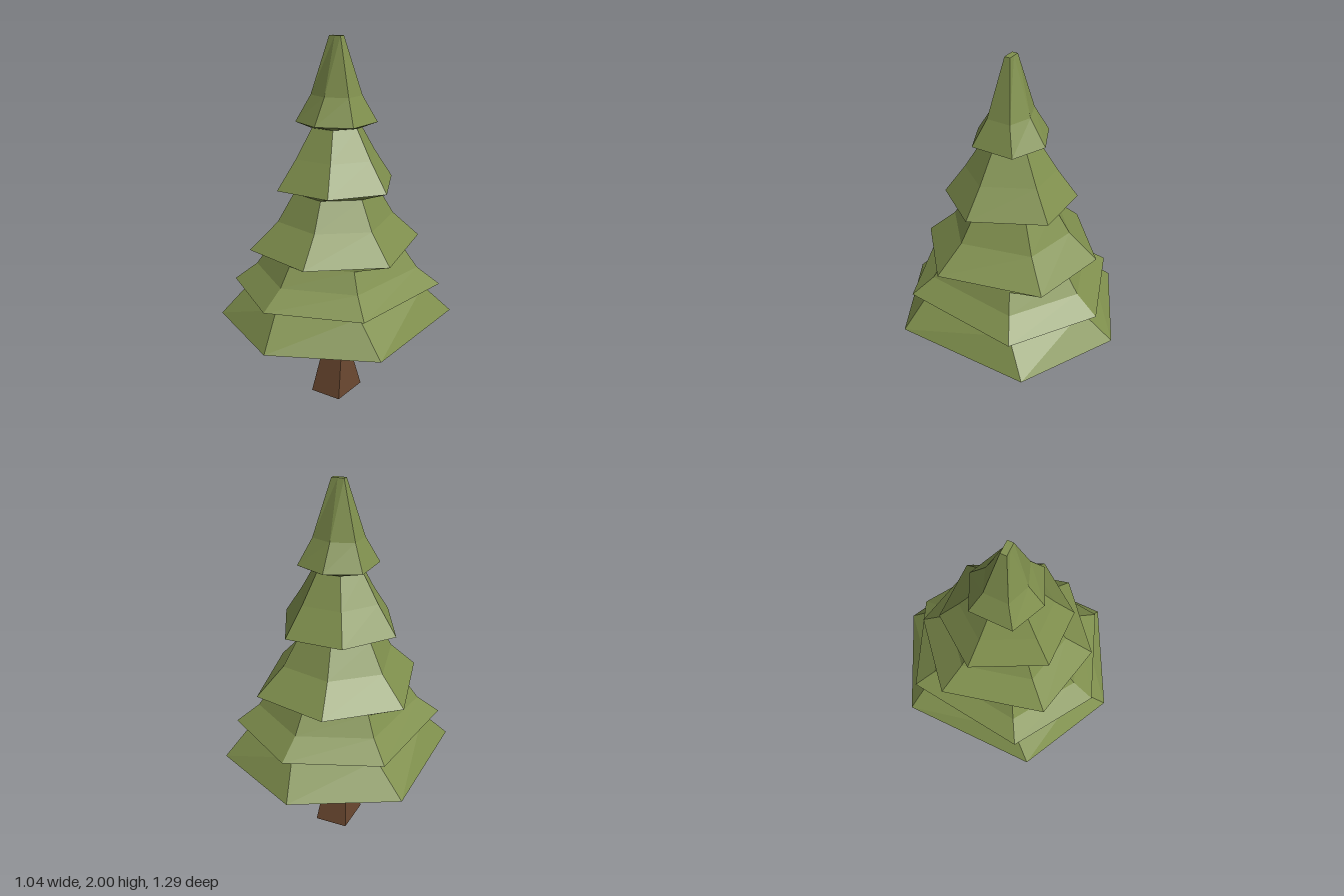
import * as THREE from 'three';

const RAD = Math.PI / 180;
const HEX_ANGLES = [36, 90, 144, 216, 270, 324];

// Slightly stretched hexagon at height y, turned about the trunk axis
function hexRing(y, r, twist, depth = 1, maxZ = Infinity) {
  return HEX_ANGLES.map((deg) => {
    const a = (deg + twist) * RAD;
    const z = THREE.MathUtils.clamp(-r * depth * Math.sin(a), -maxZ, maxZ);
    return [r * Math.cos(a), y, z];
  });
}

function rectRing(y, hx, hz) {
  return [[hx, y, hz], [hx, y, -hz], [-hx, y, -hz], [-hx, y, hz]];
}

// Faceted skin through rings listed from bottom to top
function loft(rings, capBottom, capTop) {
  const pos = [];
  const tri = (a, b, c) => pos.push(...a, ...b, ...c);
  const n = rings[0].length;
  for (let k = 0; k < rings.length - 1; k++) {
    const lo = rings[k], hi = rings[k + 1];
    for (let i = 0; i < n; i++) {
      const j = (i + 1) % n;
      tri(lo[i], lo[j], hi[j]);
      tri(lo[i], hi[j], hi[i]);
    }
  }
  const first = rings[0], last = rings[rings.length - 1];
  for (let i = 1; i < n - 1; i++) {
    if (capBottom) tri(first[0], first[i + 1], first[i]);
    if (capTop) tri(last[0], last[i], last[i + 1]);
  }
  const geo = new THREE.BufferGeometry();
  geo.setAttribute('position', new THREE.Float32BufferAttribute(pos, 3));
  geo.computeVertexNormals(); // unshared corners keep every facet flat
  return geo;
}

export function createModel() {
  const group = new THREE.Group();
  const needles = new THREE.MeshStandardMaterial({ color: 0x7f8f4d });
  needles.name = 'needle green';
  const bark = new THREE.MeshStandardMaterial({ color: 0x68462f });
  bark.name = 'bark brown';

  const add = (name, geo, mat) => {
    const mesh = new THREE.Mesh(geo, mat);
    mesh.name = name;
    group.add(mesh);
  };

  // Trunk flares towards the ground
  add('trunk', loft([
    rectRing(0, 0.093, 0.115),
    rectRing(0.225, 0.066, 0.052),
    rectRing(0.42, 0.063, 0.05),
  ], true, true), bark);

  // Branch tiers: [height, radius, twist] for underside, hem, bend and top
  const tiers = [
    [[0.395, 0.05, 0], [0.48, 0.645, 0], [0.65, 0.48, -6]],
    [[0.65, 0.48, -6], [0.665, 0.57, -6], [0.76, 0.445, -6], [0.86, 0.375, -6]],
    [[0.86, 0.375, -6], [0.895, 0.48, 14], [1.04, 0.325, 14], [1.19, 0.235, 14]],
    [[1.19, 0.235, 14], [1.23, 0.35, 27], [1.385, 0.24, 27], [1.54, 0.145, 27]],
  ];
  tiers.forEach((tier, i) => {
    add(`branchTier${i + 1}`, loft(tier.map((r) => hexRing(...r)), i === 0, false), needles);
  });

  // Crown ends in a small flat ridge
  add('crown', loft([
    hexRing(1.54, 0.145, 27),
    hexRing(1.56, 0.225, 0, 0.88),
    hexRing(1.7, 0.147, 0, 0.75),
    hexRing(2, 0.043, 0, 1, 0.016),
  ], false, true), needles);

  return group;
}
